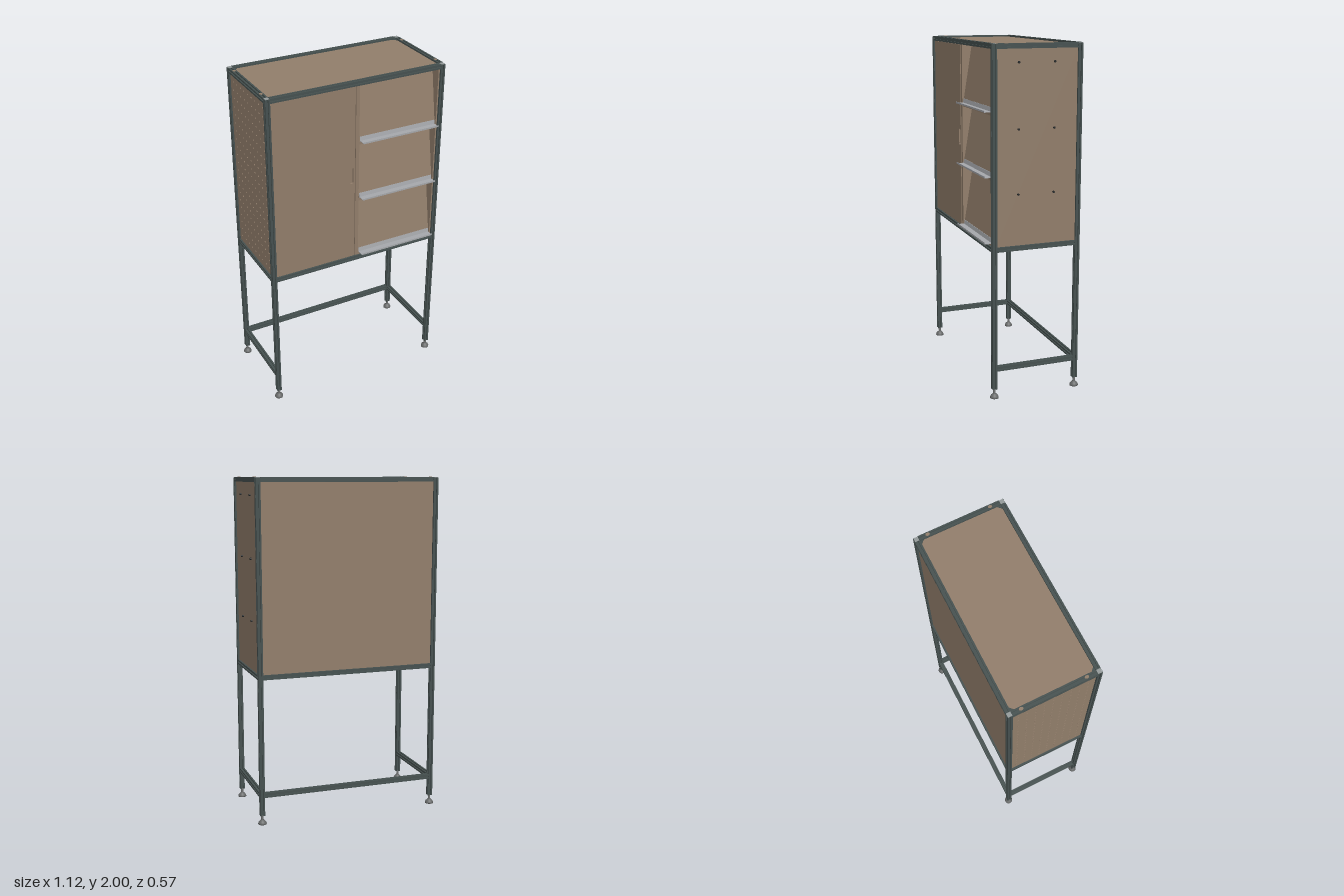
import * as THREE from 'three';

const mat = (name, color) => {
  const m = new THREE.MeshStandardMaterial({ color });
  m.name = name;
  return m;
};

export function createModel() {
  const model = new THREE.Group();
  model.name = 'displayCabinet';
  const wood = mat('brownPanel', 0x927e6b);
  const frameMat = mat('darkFrame', 0x465150);
  const slotMat = mat('blackRecess', 0x26292a);
  const rail = mat('lightGreyRail', 0xa6a8ac);
  const footMat = mat('greyFoot', 0x666868);
  const capMat = mat('cornerCap', 0x959b9b);

  const S = 0.028, X = 0.536, ZF = 0.24, ZB = -0.26, ZC = (ZF + ZB) / 2;
  const TOP = 1.986, MID = 0.876, LOW = 0.175;

  function add(name, geo, material, x = 0, y = 0, z = 0, parent = model) {
    const mesh = new THREE.Mesh(geo, material);
    mesh.name = name;
    mesh.position.set(x, y, z);
    parent.add(mesh);
    return mesh;
  }
  const box = (name, m, w, h, d, x, y, z, parent) =>
    add(name, new THREE.BoxGeometry(w, h, d), m, x, y, z, parent);

  // Slotted square bar section: one side repeated four times
  const h = S / 2, g = 0.004, dp = 0.0075;
  const side = [[-h, -h], [-g, -h], [-g, -h + dp], [g, -h + dp], [g, -h]];
  const pts = [];
  for (let i = 0; i < 4; i++) {
    for (const [a, b] of side) {
      pts.push(new THREE.Vector2(a, b).rotateAround(new THREE.Vector2(), i * Math.PI / 2));
    }
  }
  const section = new THREE.Shape(pts);
  function bar(name, axis, length, x, y, z) {
    const geo = new THREE.ExtrudeGeometry(section, { depth: length, bevelEnabled: false });
    geo.translate(0, 0, -length / 2);
    if (axis === 'x') geo.rotateY(Math.PI / 2);
    if (axis === 'y') geo.rotateX(Math.PI / 2);
    return add(name, geo, frameMat, x, y, z);
  }

  // Posts, corner caps and levelling feet
  const footProfile = [[0, 0], [0.025, 0], [0.025, 0.006], [0.021, 0.015], [0.012, 0.024],
    [0.007, 0.028], [0.007, 0.055], [0, 0.055]].map(p => new THREE.Vector2(...p));
  const footGeo = new THREE.LatheGeometry(footProfile, 24);
  for (const x of [-X, X]) {
    for (const z of [ZF, ZB]) {
      bar('post', 'y', 1.945, x, 1.0245, z);
      box('cornerCap', capMat, 0.024, 0.003, 0.024, x, 1.9985, z);
      add('foot', footGeo, footMat, x, 0, z);
    }
  }

  // Horizontal bars
  const LX = 2 * X - S, LZ = ZF - ZB - S;
  for (const y of [TOP, MID]) {
    for (const z of [ZF, ZB]) bar('longBar', 'x', LX, 0, y, z);
    for (const x of [-X, X]) bar('sideBar', 'z', LZ, x, y, ZC);
  }
  for (const x of [-X, X]) bar('sideStretcher', 'z', LZ, x, LOW, ZC);
  bar('backStretcher', 'x', LX, 0, LOW, ZB);
  bar('middleBar', 'z', LZ, 0, MID, ZC);

  // Panels seated in the slots
  const T = 0.007, PY = (TOP + MID) / 2, PH = TOP - MID - S;
  box('topPanel', wood, LX + 0.01, T, LZ + 0.01, 0, TOP, ZC);
  box('bottomPanel', wood, LX + 0.01, T, LZ + 0.01, 0, MID, ZC);
  box('backPanel', wood, LX + 0.01, PH + 0.01, T, 0, PY, ZB);
  box('rightPanel', wood, T, PH + 0.01, LZ + 0.01, X, PY, ZC);

  // Chamfered corners of the top opening
  const gusset = new THREE.Shape([[0, 0], [0.022, 0], [0, 0.022]].map(p => new THREE.Vector2(...p)));
  const gussetGeo = new THREE.ExtrudeGeometry(gusset, { depth: 0.004, bevelEnabled: false });
  gussetGeo.rotateX(-Math.PI / 2);
  const corners = [[-1, ZF - h, 0], [1, ZF - h, 1], [1, ZB + h, 2], [-1, ZB + h, 3]];
  for (const [s, z, turn] of corners) {
    add('cornerGusset', gussetGeo, frameMat, s * LX / 2, TOP + T / 2, z).rotation.y = turn * Math.PI / 2;
  }

  // Perforated side panel with a dark lining
  const perforated = new THREE.Shape();
  const pw = (LZ + 0.01) / 2, ph = (PH + 0.01) / 2;
  perforated.moveTo(-pw, -ph).lineTo(pw, -ph).lineTo(pw, ph).lineTo(-pw, ph).closePath();
  for (let r = 0; r < 21; r++) {
    for (let c = 0; c < 9; c++) {
      const hole = new THREE.Path();
      hole.absarc((c - 4) * 0.05, (r - 10) * 0.05, 0.0055, 0, Math.PI * 2, true);
      perforated.holes.push(hole);
    }
  }
  const perfGeo = new THREE.ExtrudeGeometry(perforated, { depth: T, bevelEnabled: false, curveSegments: 4 });
  perfGeo.translate(0, 0, -T / 2);
  add('perforatedPanel', perfGeo, wood, -X, PY, ZC).rotation.y = -Math.PI / 2;
  box('panelLining', slotMat, 0.002, PH, LZ, -X + 0.006, PY, ZC);

  // Screws on the plain side and on the top side bars
  const screwGeo = new THREE.CylinderGeometry(0.006, 0.006, 0.014, 12);
  for (const y of [1.9, 1.54, 1.18]) {
    for (const z of [0.1, -0.11]) {
      add('sideScrew', screwGeo, slotMat, X + 0.006, y, z).rotation.z = Math.PI / 2;
    }
  }
  for (const x of [-X, X]) {
    for (const z of [0.17, -0.195]) {
      add('topScrew', new THREE.CylinderGeometry(0.01, 0.01, 0.002, 16), wood, x, 2, z).scale.set(0.9, 0.9, 1.2);
    }
  }

  // Door with a recessed pull
  const D0 = -0.52, D1 = -0.016, Y0 = 0.892, Y1 = 1.97;
  const door = new THREE.Shape();
  door.moveTo(D0, Y0).lineTo(D1, Y0).lineTo(D1, Y1).lineTo(D0, Y1).closePath();
  const pull = new THREE.Path();
  pull.absarc(-0.037, 1.47, 0.011, 0, Math.PI, false);
  pull.absarc(-0.037, 1.39, 0.011, Math.PI, Math.PI * 2, false);
  pull.closePath();
  door.holes.push(pull);
  add('door', new THREE.ExtrudeGeometry(door, { depth: 0.016, bevelEnabled: false }), wood, 0, 0, 0.23);
  box('pullRecess', wood, 0.026, 0.11, 0.004, -0.037, 1.43, 0.232);

  // Divider and jamb beside the open bay
  box('divider', wood, 0.022, PH, LZ + 0.018, 0, PY, ZC + 0.009);
  box('bayJamb', wood, 0.008, PH, 0.05, 0.518, PY, 0.218);

  // Three sloping display panels, each with a shelf and a lipped rail
  const bayX = 0.2625, bayW = 0.495;
  for (const [y, height] of [[0.9, 0.345], [1.272, 0.333], [1.63, 0.338]]) {
    const bay = new THREE.Group();
    bay.name = 'displayBay';
    bay.position.set(bayX, y, 0);
    model.add(bay);
    box('shelf', wood, bayW + 0.006, 0.016, LZ + 0.012, 0, -0.008, ZC + 0.008, bay);
    const lean = Math.atan2(0.055, height);
    const slope = new THREE.Group();
    slope.name = 'slopingPanel';
    slope.position.z = 0.24;
    slope.rotation.x = -lean;
    bay.add(slope);
    const len = height / Math.cos(lean);
    box('displayPanel', wood, bayW, len, 0.008, 0, len / 2, -0.004, slope);
    box('railBack', rail, 0.49, 0.026, 0.003, 0, 0.017, 0.0015, slope);
    box('railLedge', rail, 0.49, 0.003, 0.043, 0, 0.0055, 0.2615, bay);
    box('railLip', rail, 0.49, 0.01, 0.003, 0, 0.009, 0.2835, bay);
  }

  return model;
}
